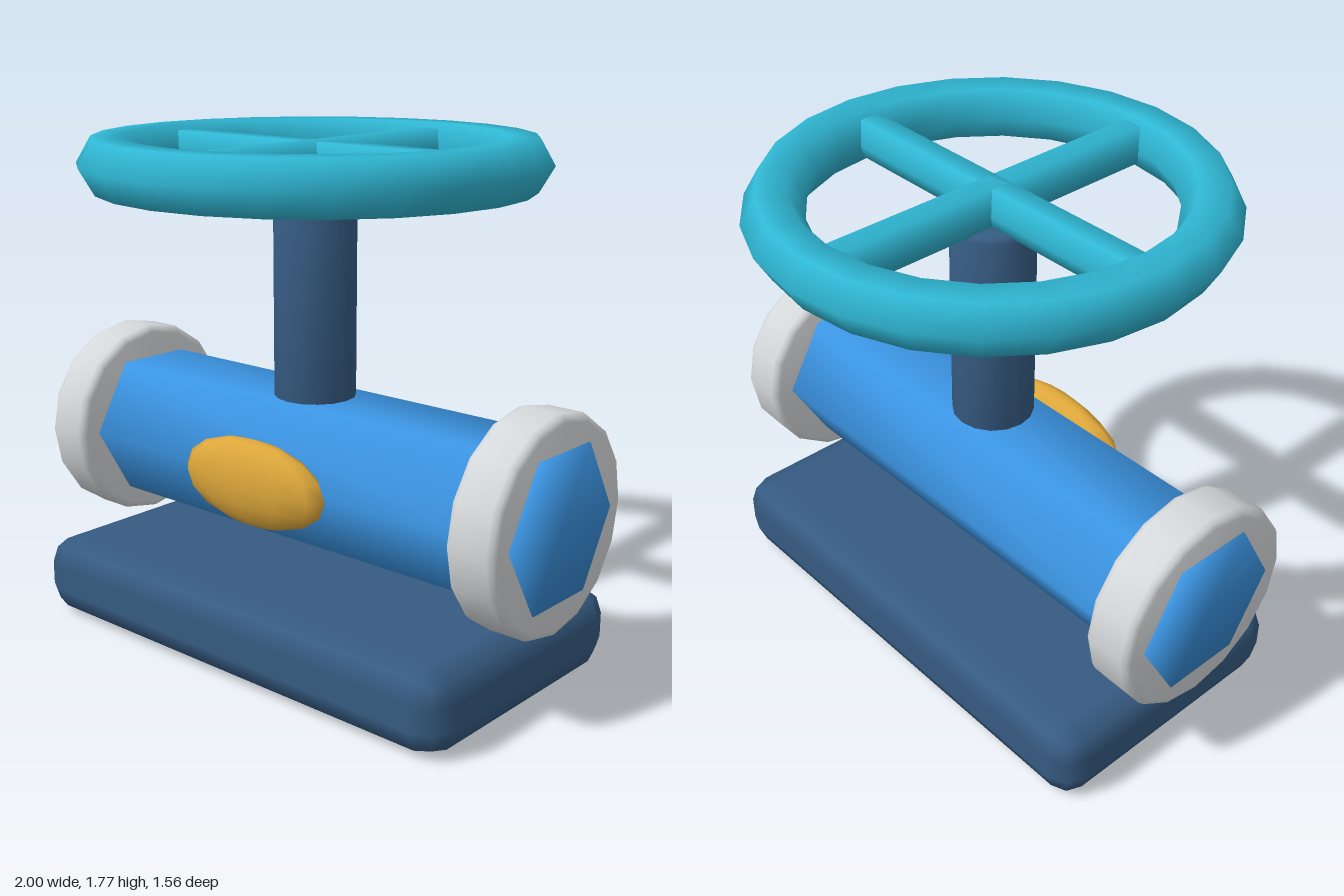
import * as THREE from 'three';
import { mergeVertices, toCreasedNormals } from 'three/addons/utils/BufferGeometryUtils.js';
import { RoundedBoxGeometry } from 'three/addons/geometries/RoundedBoxGeometry.js';

const material = (name, color) => {
  const m = new THREE.MeshStandardMaterial({ color });
  m.name = name;
  return m;
};

// Solid disc or post with small bevels, turned around y and centred on the origin
function bevelledCylinder(radius, height, bevel, sides) {
  const h = height / 2, k = bevel * 0.3;
  const profile = [
    [0, -h], [radius - bevel, -h], [radius - k, -h + k], [radius, -h + bevel],
    [radius, h - bevel], [radius - k, h - k], [radius - bevel, h], [0, h],
  ].map(([x, y]) => new THREE.Vector2(x, y));
  return toCreasedNormals(new THREE.LatheGeometry(profile, sides), 0.9);
}

// Share vertices so that the normals blend over every edge
function softened(geometry) {
  geometry.deleteAttribute('uv');
  geometry.deleteAttribute('normal');
  const merged = mergeVertices(geometry);
  merged.computeVertexNormals();
  return merged;
}

export function createModel() {
  const model = new THREE.Group();
  model.name = 'valve';

  const darkBlue = material('dark blue', 0x365b82);
  const blue = material('blue', 0x3b94e2);
  const grey = material('light grey', 0xd5d8da);
  const teal = material('teal', 0x2fb6d3);
  const gold = material('gold', 0xdca63a);

  const add = (name, geometry, mat, x, y, z, parent = model) => {
    const mesh = new THREE.Mesh(geometry, mat);
    mesh.name = name;
    mesh.position.set(x, y, z);
    parent.add(mesh);
    return mesh;
  };

  // Base slab with chamfered edges
  add('base', new RoundedBoxGeometry(1.82, 0.285, 1, 1, 0.1), darkBlue, 0, 0.1425, 0);

  // Six-sided pipe lying along x
  const pipe = softened(new THREE.CylinderGeometry(0.28, 0.28, 2, 6).rotateZ(Math.PI / 2));
  add('pipe', pipe, blue, 0, 0.65, 0);

  // End flanges
  for (const [name, side] of [['leftFlange', 1], ['rightFlange', -1]]) {
    const flange = bevelledCylinder(0.36, 0.175, 0.025, 16).rotateZ(Math.PI / 2);
    add(name, flange, grey, side * 0.907, 0.65, 0);
  }

  // Oval badge on the front of the pipe
  const badge = new THREE.SphereGeometry(1, 12, 8).scale(0.315, 0.15, 0.078);
  add('badge', badge, gold, 0, 0.65, 0.31);

  // Upright stem from the pipe to the wheel
  add('stem', bevelledCylinder(0.14, 0.975, 0.02, 16), darkBlue, 0, 1.1375, 0);

  // Hand wheel: ring and two crossing spokes
  const wheel = new THREE.Group();
  wheel.name = 'handWheel';
  wheel.position.y = 1.685;
  model.add(wheel);
  add('ring', new THREE.TorusGeometry(0.68, 0.1, 6, 24).rotateX(Math.PI / 2), teal, 0, 0, 0, wheel);
  for (const [name, turn] of [['crossSpoke', 0], ['lengthSpoke', Math.PI / 2]]) {
    const spoke = new THREE.CylinderGeometry(0.076, 0.076, 1.32, 6).rotateZ(Math.PI / 2).rotateY(turn);
    add(name, spoke, teal, 0, 0, 0, wheel);
  }

  return model;
}
